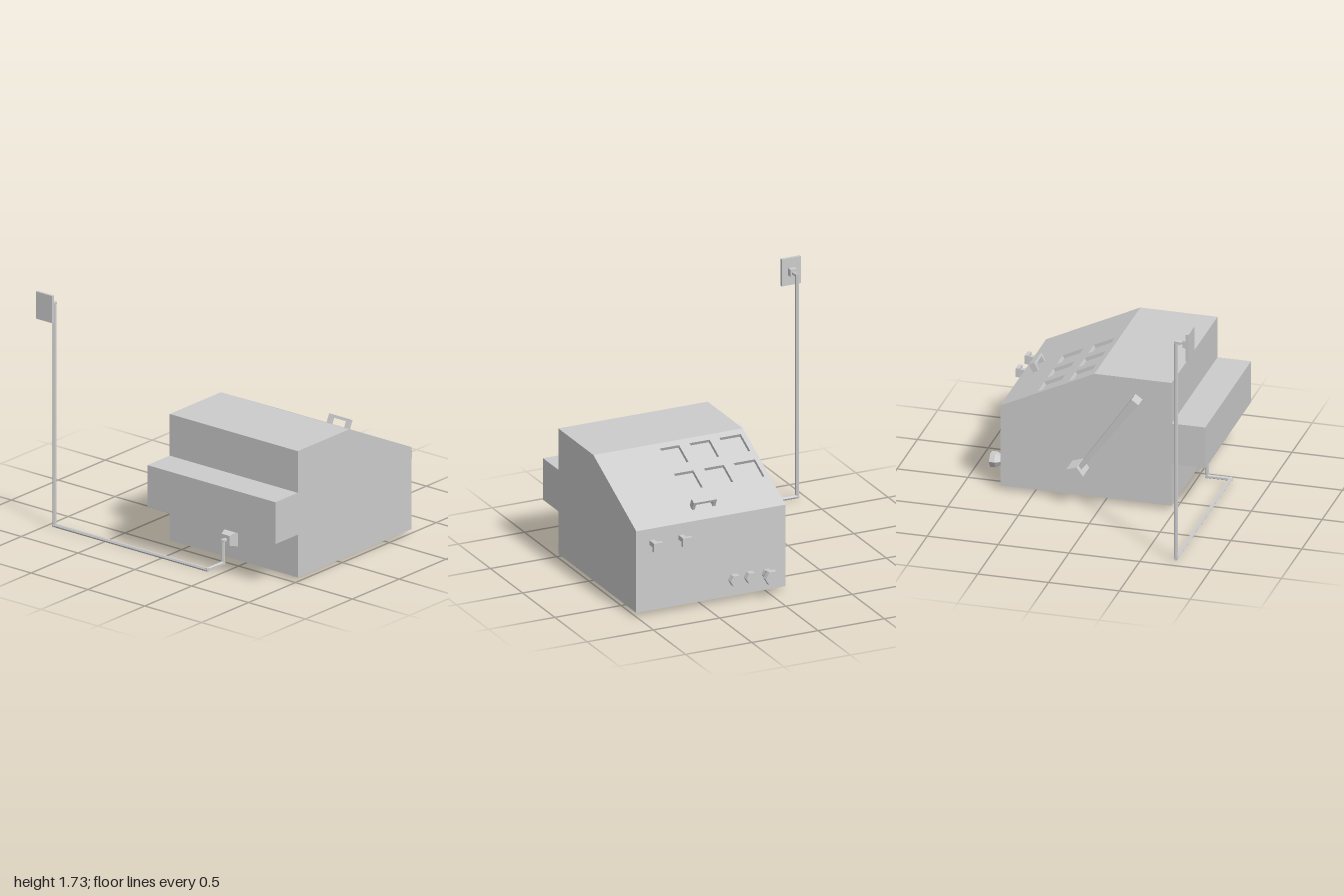
import * as THREE from 'three';

export function createModel() {
  const model = new THREE.Group();
  const grey = new THREE.MeshStandardMaterial({ color: 0xcccccc });
  grey.name = 'light grey';
  grey.flatShading = true;

  const add = (name, geometry, x = 0, y = 0, z = 0, parent = model) => {
    const mesh = new THREE.Mesh(geometry, grey);
    mesh.name = name;
    mesh.position.set(x, y, z);
    parent.add(mesh);
    return mesh;
  };
  const box = (w, h, d) => new THREE.BoxGeometry(w, h, d);
  // Square frustum along y, with flat sides facing the axes
  const frustum = (top, bottom, h) =>
    new THREE.CylinderGeometry(top * Math.SQRT1_2, bottom * Math.SQRT1_2, h, 4).rotateY(Math.PI / 4);

  const xMin = -0.127, xMax = 1, width = xMax - xMin;
  const ridge = { z: -0.07, y: 0.945 }, eave = { z: -0.735, y: 0.625 };
  const length = Math.hypot(ridge.z - eave.z, ridge.y - eave.y);
  const cos = (ridge.z - eave.z) / length, sin = (ridge.y - eave.y) / length;
  const depth = 0.025;

  // Cabinet: side profile as (z, y), with a shallow seat for the sloping panel
  const profile = [
    [0.475, 0.03], [0.475, 0.34], [0.712, 0.34], [0.712, 0.643], [0.475, 0.643], [0.475, 0.945],
    [ridge.z, ridge.y], [ridge.z + sin * depth, ridge.y - cos * depth],
    [eave.z + sin * depth, eave.y - cos * depth], [eave.z, eave.y], [eave.z, 0.03],
  ];
  const side = new THREE.Shape(profile.map(([z, y]) => new THREE.Vector2(-z, y)));
  add('cabinet', new THREE.ExtrudeGeometry(side, { depth: width, bevelEnabled: false }).rotateY(Math.PI / 2), xMin);

  // Sloping panel: local y runs down the slope, local z points out of it
  const slope = new THREE.Group();
  slope.name = 'slopingPanel';
  slope.position.set(0, ridge.y, ridge.z);
  slope.rotation.x = Math.atan2(-cos, -sin);
  model.add(slope);
  const rect = (Type, x0, x1, y0, y1) => {
    const p = new Type();
    p.moveTo(x0, y0); p.lineTo(x1, y0); p.lineTo(x1, y1); p.lineTo(x0, y1); p.closePath();
    return p;
  };
  const panel = rect(THREE.Shape, xMin, xMax, 0, length);
  for (const [x0, x1] of [[-0.09, 0.07], [0.145, 0.295], [0.375, 0.52]]) {
    for (const [z0, z1] of [[-0.113, -0.26], [-0.333, -0.48]]) {
      panel.holes.push(rect(THREE.Path, x0, x1, (ridge.z - z0) / cos, (ridge.z - z1) / cos));
    }
  }
  add('recessedPanel', new THREE.ExtrudeGeometry(panel, { depth, bevelEnabled: false }), 0, 0, -depth, slope);

  // Grab handle on the slope
  const grip = 0.617;
  add('gripBar', box(0.175, 0.043, 0.02), 0.447, grip, 0.055, slope);
  for (const s of [-1, 1]) add('gripLeg', box(0.02, 0.043, 0.05), 0.447 + s * 0.0775, grip, 0.024, slope);

  // Tapered feet
  for (const x of [-0.04, 0.91]) {
    for (const z of [0.4, -0.65]) {
      add('foot', new THREE.CylinderGeometry(0.034, 0.021, 0.032, 6), x, 0.016, z);
    }
  }

  // Hexagonal knobs on the rear; the large one flares outwards
  const knobs = [
    ['largeKnob', 0.02, [[0, 0], [0.036, 0], [0.038, 0.035], [0.055, 0.07], [0.055, 0.107], [0, 0.107]]],
    ['smallKnob', 0.147, [[0, 0], [0.043, 0], [0.043, 0.045], [0, 0.045]]],
    ['smallKnob', 0.265, [[0, 0], [0.043, 0], [0.043, 0.045], [0, 0.045]]],
  ];
  for (const [name, x, points] of knobs) {
    const lathe = new THREE.LatheGeometry(points.map(p => new THREE.Vector2(...p)), 6);
    add(name, lathe.rotateY(Math.PI / 6 * 3).rotateX(-Math.PI / 2), x, 0.15, eave.z);
  }

  // Rear pegs with square caps
  for (const x of [0.663, 0.883]) {
    add('pegStem', box(0.034, 0.034, 0.085), x, 0.525, -0.775);
    add('pegCap', box(0.07, 0.064, 0.028), x, 0.525, -0.829);
  }

  // Side lever: pentagonal pivot and a bar that widens to its end
  const pivot = new THREE.Vector3(-0.215, 0.241, -0.1725);
  const leverEnd = new THREE.Vector3(-0.215, 0.8325, 0.255);
  const hub = new THREE.CylinderGeometry(0.0655, 0.0655, 0.153, 5).rotateZ(Math.PI / 2);
  // Turn one corner of the pentagon straight up
  const hp = hub.attributes.position;
  let corner = 0;
  for (let i = 0; i < 5; i++) {
    if (Math.abs(hp.getZ(i)) < 1e-6) corner = hp.getY(i);
  }
  if (corner < 0) hub.rotateX(Math.PI);
  add('leverPivot', hub, -0.2035, pivot.y, pivot.z);
  const reach = pivot.distanceTo(leverEnd);
  const bar = frustum(1, 0.5, reach).scale(0.1, 1, 0.061);
  const lever = add('leverBar', bar);
  lever.position.copy(pivot).lerp(leverEnd, 0.5);
  lever.rotation.x = Math.atan2(leverEnd.z - pivot.z, leverEnd.y - pivot.y);

  // Socket on the front face
  add('socket', frustum(0.07, 0.11, 0.065).rotateX(Math.PI / 2), 0.418, 0.183, 0.5075);

  // Bent rod running from the socket, along the ground and up to the plate
  const path = [
    [0.418, 0.183, 0.53], [0.418, 0.183, 0.567], [0.418, 0.023, 0.567], [0.418, 0.023, 0.735],
    [-0.927, 0.023, 0.735], [-0.927, 1.634, 0.735], [-0.927, 1.634, 0.8],
  ].map(p => new THREE.Vector3(...p));
  const up = new THREE.Vector3(0, 1, 0);
  for (let i = 1; i < path.length; i++) {
    const run = path[i].clone().sub(path[i - 1]);
    const rod = add('rodSection', new THREE.CylinderGeometry(0.014, 0.014, run.length() + 0.022, 6));
    rod.position.copy(path[i]).lerp(path[i - 1], 0.5);
    rod.quaternion.setFromUnitVectors(up, run.normalize());
  }

  // Plate at the top of the rod
  add('plateMount', box(0.05, 0.052, 0.04), -0.929, 1.634, 0.808);
  add('plate', box(0.143, 0.197, 0.02), -0.9285, 1.633, 0.834);

  return model;
}
